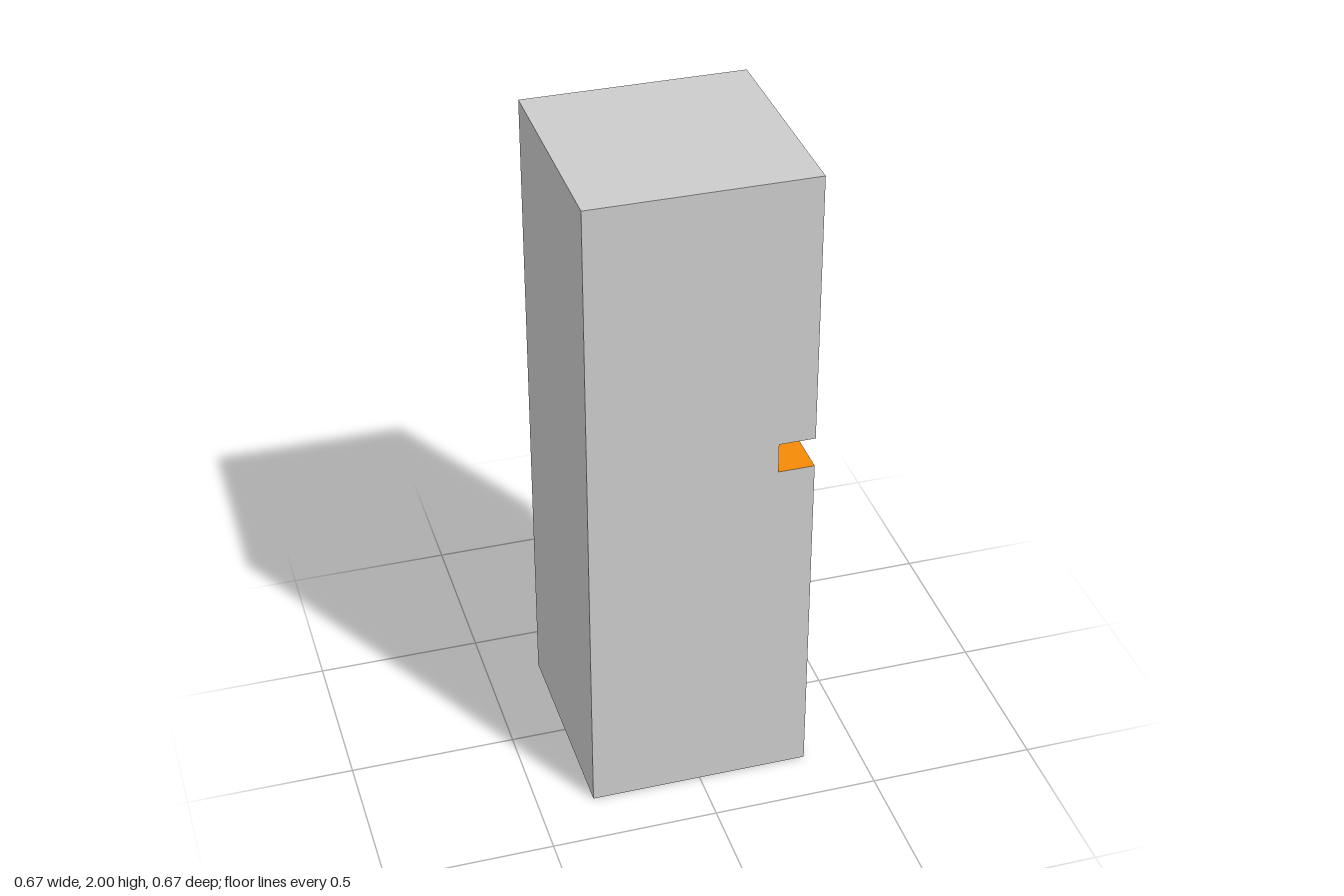
import * as THREE from 'three';

const HALF = 0.333;   // half width and half depth
const HEIGHT = 2;
const INNER = 0.225;  // x of the notch's inner wall
const FLOOR = 1.077;
const CEILING = 1.17;

// Counter-clockwise outline with a side notch; innerTop is the ceiling height at the inner wall
function section(z, innerTop) {
  return [
    [-HALF, 0], [HALF, 0], [HALF, FLOOR], [INNER, FLOOR],
    [INNER, innerTop], [HALF, CEILING], [HALF, HEIGHT], [-HALF, HEIGHT],
  ].map(([x, y]) => new THREE.Vector3(x, y, z));
}

function quadMesh(name, quads, color) {
  const points = quads.flatMap(([a, b, c, d]) => [a, b, c, a, c, d]);
  const geometry = new THREE.BufferGeometry().setFromPoints(points);
  geometry.computeVertexNormals();
  const mesh = new THREE.Mesh(geometry, new THREE.MeshStandardMaterial({ color, flatShading: true }));
  mesh.name = name;
  return mesh;
}

export function createModel() {
  const group = new THREE.Group();
  group.name = 'notchedPillar';

  // The notch ceiling dips slightly toward its inner back corner
  const front = section(HALF, CEILING);
  const back = section(-HALF, 1.155);
  const side = (k) => {
    const n = (k + 1) % front.length;
    return [front[k], back[k], back[n], front[n]];
  };

  // Pillar: outer sides plus the front and back faces
  const faces = [0, 1, 5, 6, 7].map(side);
  for (const corners of [[0, 1, 2, 3], [0, 3, 4, 7], [4, 5, 6, 7]]) {
    faces.push(corners.map((i) => front[i]));
    faces.push(corners.map((i) => back[i]).reverse());
  }
  group.add(quadMesh('pillar', faces, 0xcccccc));

  // Notch: floor, inner wall and ceiling
  group.add(quadMesh('notch', [2, 3, 4].map(side), 0xf58a07));

  return group;
}
